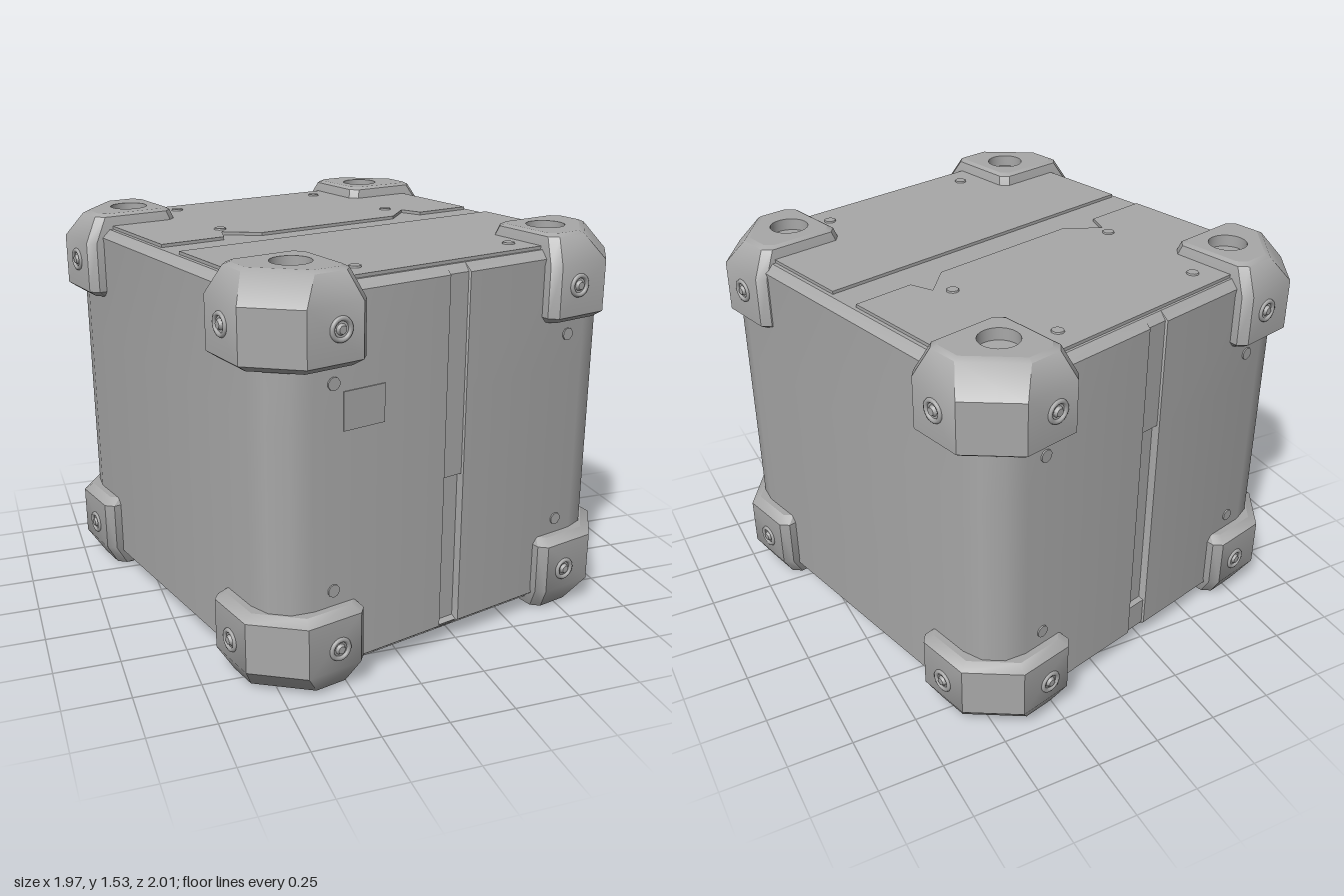
import * as THREE from 'three';
import { mergeGeometries, mergeVertices, toCreasedNormals } from 'three/addons/utils/BufferGeometryUtils.js';

const HALF = 0.765;   // half of the full height
const BODY = 0.72;    // half of the crate body height
const steel = new THREE.MeshStandardMaterial({ color: 0xa8a8a8 });
steel.name = 'grey steel';

// Strips a geometry to creased positions, optionally mirrored with its winding kept outward
function finish(source, sx = 1, sy = 1, sz = 1) {
  let g = source.clone();
  g.deleteAttribute('uv');
  g.deleteAttribute('normal');
  g.clearGroups();
  g = mergeVertices(g, 1e-5);
  g.scale(sx, sy, sz);
  if (sx * sy * sz < 0) {
    const a = g.index.array;
    for (let i = 0; i < a.length; i += 3) [a[i + 1], a[i + 2]] = [a[i + 2], a[i + 1]];
  }
  return toCreasedNormals(g, 0.6);
}

// Skins horizontal loops of [x, z] points, each at its own height
function loft(levels) {
  const n = levels[0].loop.length, pos = [], idx = [];
  levels.forEach(({ y, loop }) => loop.forEach(([x, z]) => pos.push(x, y, z)));
  for (let l = 0; l < levels.length - 1; l++) {
    for (let j = 0; j < n; j++) {
      const a = l * n + j, b = l * n + (j + 1) % n;
      idx.push(a, a + n, b, b, a + n, b + n);
    }
  }
  const g = new THREE.BufferGeometry();
  g.setAttribute('position', new THREE.Float32BufferAttribute(pos, 3));
  g.setIndex(idx);
  return g;
}

const planShape = (loop) => new THREE.Shape(loop.map(([x, z]) => new THREE.Vector2(x, -z)));
const faceUp = (shape, y) => new THREE.ShapeGeometry(shape, 20).rotateX(-Math.PI / 2).translate(0, y, 0);
const faceDown = (loop, y) => new THREE.ShapeGeometry(
  new THREE.Shape(loop.map(([x, z]) => new THREE.Vector2(x, z)))).rotateX(Math.PI / 2).translate(0, y, 0);

// Body outline: rounded rectangle with a notch in the back and the front
function bodyLoop(inset, frontDepth, backDepth) {
  const c = 0.16, hu = 0.77, hv = 0.80, w = 0.045, r = c - inset;
  const pts = [];
  const arc = (sx, sz, start) => {
    for (let i = 0; i <= 3; i++) {
      const a = start + (i / 3) * Math.PI / 2;
      pts.push([sx * (hu - c) + r * Math.cos(a), sz * (hv - c) + r * Math.sin(a)]);
    }
  };
  const notch = (s, depth) => {
    const z = s * (hv - inset), zi = s * (hv - inset - depth);
    pts.push([s * w, z], [s * (w - 0.004), zi], [-s * (w - 0.004), zi], [-s * w, z]);
  };
  arc(-1, -1, Math.PI);
  notch(-1, backDepth);
  arc(1, -1, -Math.PI / 2);
  arc(1, 1, 0);
  notch(1, frontDepth);
  arc(-1, 1, Math.PI / 2);
  return pts;
}

function bodyGeometry() {
  // height, inset, front notch depth, back notch depth
  const rows = [
    [-0.708, 0.035, 0, 0], [-0.68, 0, 0.008, 0.008], [-0.67, 0, 0.03, 0.008],
    [-0.565, 0, 0.03, 0.008], [-0.56, 0, 0.03, 0.03], [-0.08, 0, 0.03, 0.03],
    [-0.075, 0, 0.008, 0.03], [0.25, 0, 0.008, 0.03], [0.255, 0, 0.008, 0.008],
    [0.68, 0, 0.008, 0.008], [0.708, 0.035, 0, 0],
  ];
  const levels = rows.map(([y, i, f, b]) => ({ y, loop: bodyLoop(i, f, b) }));
  const end = levels[0].loop;
  return mergeGeometries([loft(levels), faceUp(planShape(end), 0.708), faceDown(end, -0.708)].map((g) => finish(g)));
}

// Lid plates either side of the cross groove; the rear one has two dents in its edge
function lidGeometry(loop) {
  return new THREE.ExtrudeGeometry(planShape(loop), { depth: BODY - 0.7, bevelEnabled: false })
    .rotateX(-Math.PI / 2).translate(0, 0.7, 0);
}
const rearLid = [[-0.72, -0.65], [-0.61, -0.755], [0.61, -0.755], [0.72, -0.65], [0.72, -0.04],
  [0.48, -0.04], [0.45, -0.13], [0.33, -0.03], [-0.3, -0.03], [-0.42, -0.13], [-0.46, -0.04], [-0.72, -0.04]];
const frontLid = [[-0.72, 0.1], [0.72, 0.1], [0.72, 0.65], [0.61, 0.755], [-0.61, 0.755], [-0.72, 0.65]];

// Corner cap outline for the +x +z quadrant
function capLoop(outer, inner, corner) {
  const u0 = 0.42 + inner, v0 = 0.455 + inner, u1 = 0.83 - outer, v1 = 0.86 - outer;
  const s = 1.53 - corner * Math.SQRT2, k = 0.03;
  return [[u0 + k, v0], [u1 - k, v0], [u1, v0 + k], [u1, s - u1], [s - v1, v1],
    [u0 + k, v1], [u0, v1 - k], [u0, v0 + k]];
}

function capGeometry() {
  const levels = [
    { y: 0.44, loop: capLoop(0.035, 0.02, 0.035) },
    { y: 0.465, loop: capLoop(0, 0, 0) },
    { y: 0.66, loop: capLoop(0, 0, 0) },
    { y: 0.755, loop: capLoop(0.055, 0.03, 0.085) },
    { y: HALF, loop: capLoop(0.075, 0.045, 0.105) },
  ];
  const hu = 0.58, hv = 0.625, r = 0.073, depth = 0.09;
  const top = planShape(levels[4].loop);
  top.holes.push(new THREE.Path().absarc(hu, -hv, r, 0, Math.PI * 2, true));
  // negative scale turns the tube to face inward
  const tube = new THREE.CylinderGeometry(r, r, depth, 40, 1, true).scale(-1, 1, 1)
    .translate(hu, HALF - depth / 2, hv);
  const floor = new THREE.CircleGeometry(r, 40).rotateX(-Math.PI / 2).translate(hu, HALF - depth, hv);
  return [loft(levels), faceUp(top, HALF), faceDown(levels[0].loop, 0.44), tube, floor];
}

export function createModel() {
  const model = new THREE.Group();
  model.name = 'crate';
  const crate = new THREE.Group();
  crate.name = 'crateAssembly';
  crate.position.y = HALF;
  crate.rotation.y = THREE.MathUtils.degToRad(15);
  model.add(crate);

  const add = (parent, name, geometry, x = 0, y = 0, z = 0) => {
    const m = new THREE.Mesh(geometry, steel);
    m.name = name;
    m.position.set(x, y, z);
    parent.add(m);
    return m;
  };

  add(crate, 'body', bodyGeometry());
  for (const sy of [1, -1]) {
    add(crate, 'rearLidPlate', finish(lidGeometry(rearLid), 1, sy, 1));
    add(crate, 'frontLidPlate', finish(lidGeometry(frontLid), 1, sy, 1));
  }
  add(crate, 'frontLabelPlate', new THREE.BoxGeometry(0.17, 0.14, 0.008), -0.405, 0.275, 0.8);

  // Corner caps with a ringed bolt on both outer faces
  const capParts = capGeometry();
  const ring = new THREE.TorusGeometry(0.036, 0.009, 8, 24);
  const head = new THREE.CylinderGeometry(0.014, 0.022, 0.014, 12).rotateX(Math.PI / 2);
  const bolt = (parent, x, y, z, turn) => {
    const b = new THREE.Group();
    b.name = 'capBolt';
    b.position.set(x, y, z);
    b.rotation.y = turn;
    add(b, 'boltRing', ring);
    add(b, 'boltHead', head, 0, 0, 0.004);
    parent.add(b);
  };
  for (const sx of [1, -1]) for (const sy of [1, -1]) for (const sz of [1, -1]) {
    const cap = new THREE.Group();
    cap.name = 'cornerCap';
    if (sx > 0 && sy > 0 && sz > 0) cap.position.x = -0.025;
    add(cap, 'capShell', mergeGeometries(capParts.map((g) => finish(g, sx, sy, sz))));
    bolt(cap, sx * 0.54, sy * 0.58, sz * 0.86, sz > 0 ? 0 : Math.PI);
    bolt(cap, sx * 0.83, sy * 0.58, sz * 0.59, sx * Math.PI / 2);
    crate.add(cap);

    // Small rivets beside the caps
    add(crate, 'lidRivet', new THREE.CylinderGeometry(0.022, 0.026, 0.012, 10), sx * 0.345, sy * BODY, sz * 0.655);
    add(crate, 'sideRivet', new THREE.CylinderGeometry(0.024, 0.024, 0.012, 10).rotateX(Math.PI / 2),
      sx * 0.53, sy * 0.38, sz * 0.8);
  }
  for (const sx of [1, -1]) {
    add(crate, 'grooveRivet', new THREE.CylinderGeometry(0.022, 0.026, 0.012, 10), sx * 0.4, BODY, -0.18);
  }
  return model;
}
